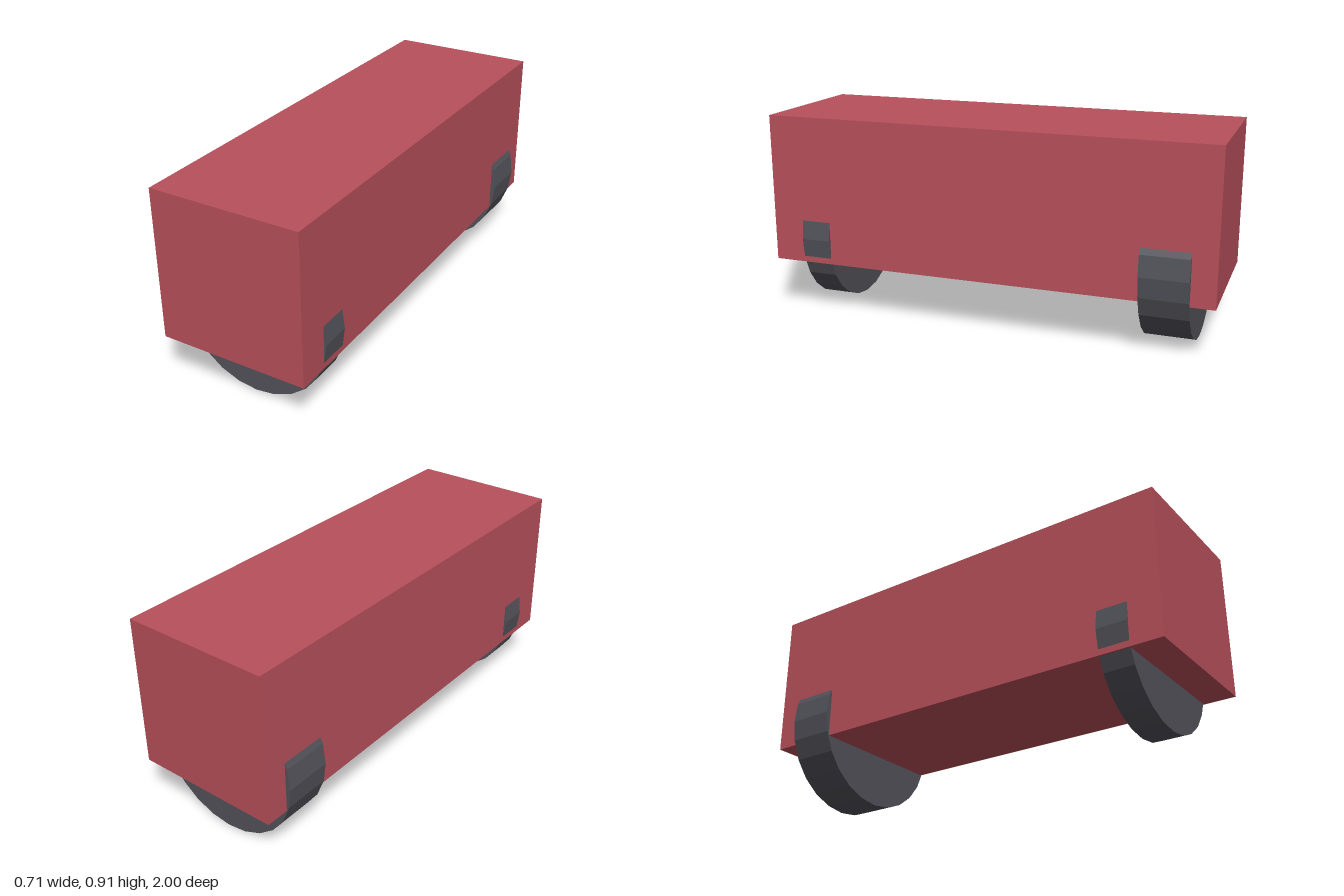
import * as THREE from 'three';

export function createModel() {
  const model = new THREE.Group();
  model.name = 'boxCart';

  const red = new THREE.MeshStandardMaterial({ color: 0xb8505b });
  red.name = 'body red';
  const grey = new THREE.MeshStandardMaterial({ color: 0x52525a });
  grey.name = 'roller grey';
  grey.flatShading = true;

  // Long box body
  const body = new THREE.Mesh(new THREE.BoxGeometry(0.664, 0.666, 2), red);
  body.name = 'body';
  body.position.y = 0.579;
  model.add(body);

  // Wide 24-sided rollers, axes running front to back
  const addRoller = (name, radius, width, z) => {
    const geometry = new THREE.CylinderGeometry(radius, radius, width, 24);
    geometry.rotateX(Math.PI / 2);
    const roller = new THREE.Mesh(geometry, grey);
    roller.name = name;
    roller.position.set(0, 0.356, z);
    model.add(roller);
  };
  addRoller('frontRoller', 0.343, 0.135, 0.79);
  addRoller('rearRoller', 0.355, 0.21, -0.79);

  return model;
}
